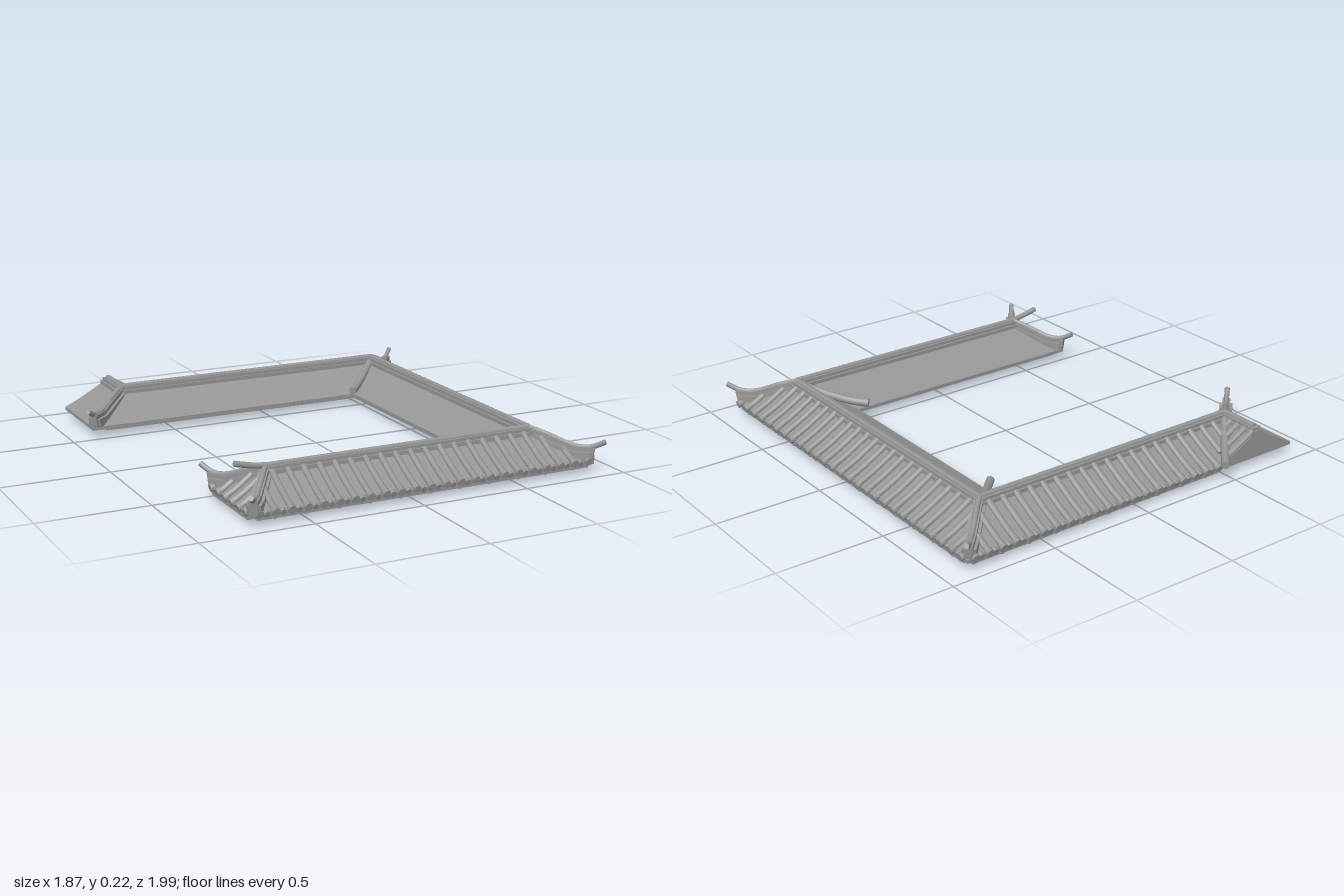
import * as THREE from 'three';

const mat = new THREE.MeshStandardMaterial({ color: 0x969696, side: THREE.DoubleSide });
const V = (x, y, z) => new THREE.Vector3(x, y, z);
const mix = (a, b, t) => a + (b - a) * t;
const EAVE = 0.05, RISE = 0.115;
// slightly sagging roof height, t = 0 at the ridge and 1 at the eave
const sag = t => EAVE + RISE * Math.pow(Math.max(0, 1 - t), 1.1);

// plan corners [x, z] of the three-winged roof
const ridge = [[-0.68, -0.73], [0.68, -0.73], [0.68, 0.725], [-0.59, 0.725]];
const outer = [[-0.895, -0.94], [0.89, -0.94], [0.89, 0.93], [-0.75, 0.93]];
const inner = [[-0.895, -0.53], [0.475, -0.53], [0.475, 0.515], [-0.75, 0.515]];
// cut end of the back wing: cross ridge end and valley foot
const spurEnd = [-0.68, -0.94], valleyFoot = [-0.46, -0.94];

function add(parent, name, geo) {
  const m = new THREE.Mesh(geo, mat);
  m.name = name;
  parent.add(m);
  return m;
}

// curved roof plane from ridge edge r0-r1 down to eave edge e0-e1
function slope(parent, name, r0, r1, e0, e1) {
  const pos = [], idx = [], n = 6;
  for (let i = 0; i <= n; i++) {
    const t = i / n;
    for (const [r, e] of [[r0, e0], [r1, e1]]) pos.push(mix(r[0], e[0], t), sag(t), mix(r[1], e[1], t));
    if (i < n) idx.push(2 * i, 2 * i + 2, 2 * i + 1, 2 * i + 1, 2 * i + 2, 2 * i + 3);
  }
  const g = new THREE.BufferGeometry();
  g.setAttribute('position', new THREE.Float32BufferAttribute(pos, 3));
  g.setIndex(idx);
  g.computeVertexNormals();
  add(parent, name, g);
}

// round rod through points, closed at both ends
function rod(parent, name, pts, r, seg = 6) {
  const curve = new THREE.CatmullRomCurve3(pts);
  add(parent, name, new THREE.TubeGeometry(curve, seg, r, 8));
  for (const t of [0, 1]) {
    const cap = add(parent, name + 'Cap', new THREE.CircleGeometry(r, 8));
    cap.position.copy(curve.getPoint(t));
    cap.lookAt(cap.position.clone().addScaledVector(curve.getTangent(t), t ? 1 : -1));
  }
}

// horizontal bar between plan points
function bar(parent, name, a, b, y0, y1, w, extra = 0) {
  const dx = b[0] - a[0], dz = b[1] - a[1];
  const m = add(parent, name, new THREE.BoxGeometry(Math.hypot(dx, dz) + extra, y1 - y0, w));
  m.position.set((a[0] + b[0]) / 2, (y0 + y1) / 2, (a[1] + b[1]) / 2);
  m.rotation.y = -Math.atan2(dz, dx);
}

// stepped ridge wall with a rounded top
function ridgeWall(parent, a, b) {
  bar(parent, 'ridgeBase', a, b, 0.125, 0.163, 0.064, 0.04);
  bar(parent, 'ridgeWall', a, b, 0.16, 0.178, 0.046, 0.03);
  rod(parent, 'ridgeCap', [V(a[0], 0.178, a[1]), V(b[0], 0.178, b[1])], 0.013, 1);
}

// hip: upturned rod over a stepped wall
function hip(parent, a, b) {
  const prof = [[0, 0.177], [0.25, 0.152], [0.6, 0.112], [0.82, 0.112], [1, 0.14]];
  rod(parent, 'hipRod', prof.map(([t, y]) => V(mix(a[0], b[0], t), y, mix(a[1], b[1], t))), 0.012, 14);
  const L = Math.hypot(b[0] - a[0], b[1] - a[1]);
  for (const [width, drop, end] of [[0.036, 0, 0.87], [0.06, 0.02, 0.83]]) {
    const s = new THREE.Shape();
    s.moveTo(0, 0.12);
    for (const [t, y] of prof.slice(0, 4)) s.lineTo(Math.min(t, end - 0.03) * L, y - drop);
    s.lineTo(end * L, 0.112 - drop);
    s.lineTo((end - 0.03) * L, 0.05);
    s.lineTo(0.6 * L, 0.055);
    const g = new THREE.ExtrudeGeometry(s, { depth: width, bevelEnabled: false });
    g.translate(0, 0, -width / 2);
    const m = add(parent, 'hipWall', g);
    m.position.set(a[0], 0, a[1]);
    m.rotation.y = -Math.atan2(b[1] - a[1], b[0] - a[0]);
  }
}

// rod lying in the valley where two slopes meet
function valley(parent, a, b) {
  const prof = [[0, 0.165], [0.4, 0.118], [0.75, 0.088], [1, 0.08]];
  rod(parent, 'valleyRod', prof.map(([t, y]) => V(mix(a[0], b[0], t), y, mix(a[1], b[1], t))), 0.019, 10);
}

// tile rows, round end tiles, drip tiles and eave board on one outer side
function tiledSide(parent, e0, e1, r0, r1, startsAtValley = false) {
  const L = Math.hypot(e1[0] - e0[0], e1[1] - e0[1]);
  const d = [(e1[0] - e0[0]) / L, (e1[1] - e0[1]) / L];
  const along = r => (r[0] - e0[0]) * d[0] + (r[1] - e0[1]) * d[1];
  const s0 = along(r0), s1 = along(r1);
  const nx = r0[0] - e0[0] - d[0] * s0, nz = r0[1] - e0[1] - d[1] * s0;
  const at = (s, t, dy) => V(e0[0] + d[0] * s + nx * (1 - t), sag(t) + dy, e0[1] + d[1] * s + nz * (1 - t));
  const flat = (s, t) => { const p = at(s, t, 0); return [p.x, p.z]; };
  const n = Math.round(L / 0.07), step = L / n;
  const first = startsAtValley ? along(valleyFoot) : 0.03;
  for (let i = 0; i < n; i++) {
    const s = (i + 0.5) * step;
    const t0 = Math.max(0.1, 1 - s / s0 + 0.1, 1 - (L - s) / (L - s1) + 0.1);
    const t1 = startsAtValley ? Math.min(1.03, (s - s0) / (first - s0)) : 1.03;
    if (t1 - t0 > 0.1) {
      rod(parent, 'tileRow', [0, 0.33, 0.66, 1].map(k => at(s, mix(t0, t1, k), 0.006)), 0.0145, 5);
    }
    if (s < first) continue;
    rod(parent, 'endTile', [at(s, 0.96, 0.004), at(s, 1.07, 0.002)], 0.018, 1);
    if (s + step / 2 < L - 0.02) rod(parent, 'dripTile', [at(s + step / 2, 0.93, -0.006), at(s + step / 2, 1.02, -0.006)], 0.014, 1);
    if (i % 2) rod(parent, 'rafterEnd', [flat(s, 0.72), flat(s, 1)].map(p => V(p[0], 0.032, p[1])), 0.012, 1);
  }
  bar(parent, 'eaveBoard', flat(first, 0.93), flat(L - 0.03, 0.93), 0.023, 0.046, 0.024);
}

export function createModel() {
  const root = new THREE.Group();
  root.name = 'courtyardRoof';
  const group = name => {
    const g = new THREE.Group();
    g.name = name;
    root.add(g);
    return g;
  };

  // flat underside slab with boards below the inner eaves
  const plan = new THREE.Shape([...outer, ...inner.slice().reverse()].map(p => new THREE.Vector2(p[0], -p[1])));
  const slab = new THREE.ExtrudeGeometry(plan, { depth: 0.015, bevelEnabled: false });
  slab.rotateX(-Math.PI / 2);
  slab.translate(0, 0.035, 0);
  add(root, 'underside', slab);
  bar(root, 'innerBoard', [-0.82, -0.56], [0.5, -0.56], 0.022, 0.04, 0.02);
  bar(root, 'innerBoard', [0.5, -0.56], [0.5, 0.545], 0.022, 0.04, 0.02);
  bar(root, 'innerBoard', [0.5, 0.545], [-0.7, 0.545], 0.022, 0.04, 0.02);

  // roof planes and main ridges
  const planes = group('roofPlanes'), ridges = group('ridges');
  const eave = [valleyFoot, ...outer.slice(1)];
  for (let i = 0; i < 3; i++) {
    slope(planes, 'outerSlope', ridge[i], ridge[i + 1], eave[i], eave[i + 1]);
    slope(planes, 'innerSlope', ridge[i + 1], ridge[i], inner[i + 1], inner[i]);
    ridgeWall(ridges, ridge[i], ridge[i + 1]);
  }
  slope(planes, 'frontWingEnd', ridge[3], ridge[3], outer[3], inner[3]);
  rod(ridges, 'ridgeTip', [V(-0.57, 0.178, 0.728), V(-0.64, 0.185, 0.728), V(-0.73, 0.205, 0.728)], 0.013);

  // tiles on the outward sides
  const tiles = group('tiles');
  tiledSide(tiles, outer[0], outer[1], ridge[0], ridge[1], true);
  tiledSide(tiles, outer[1], outer[2], ridge[1], ridge[2]);
  tiledSide(tiles, outer[2], outer[3], ridge[2], ridge[3]);
  tiledSide(tiles, outer[3], inner[3], ridge[3], ridge[3]);

  // hips at the outer corners and wing ends, valleys at the inner corners
  const hips = group('hips');
  hip(hips, ridge[1], [0.92, -0.975]);
  hip(hips, ridge[2], [0.92, 0.965]);
  hip(hips, ridge[3], [-0.77, 0.98]);
  hip(hips, ridge[3], [-0.77, 0.47]);
  hip(hips, ridge[0], [-0.93, -0.49]);
  valley(hips, ridge[1], [0.445, -0.485]);
  valley(hips, ridge[2], [0.435, 0.49]);
  valley(hips, ridge[0], [-0.45, -0.985]);

  // cross ridge on the back wing, cut off by a flat gable
  const spur = group('backWingSpur');
  ridgeWall(spur, ridge[0], [-0.68, -0.92]);
  slope(spur, 'spurOuterSlope', ridge[0], spurEnd, inner[0], outer[0]);
  slope(spur, 'spurValleySlope', spurEnd, ridge[0], valleyFoot, valleyFoot);
  const gable = new THREE.Shape();
  gable.moveTo(outer[0][0], 0.035);
  for (let i = 0; i <= 6; i++) gable.lineTo(mix(outer[0][0], spurEnd[0], i / 6), sag(1 - i / 6));
  for (let i = 1; i <= 6; i++) gable.lineTo(mix(spurEnd[0], valleyFoot[0], i / 6), sag(i / 6));
  gable.lineTo(valleyFoot[0], 0.035);
  const gableWall = add(spur, 'gable', new THREE.ShapeGeometry(gable));
  gableWall.scale.z = -1;
  gableWall.position.z = -0.94;
  for (let i = 0; i < 4; i++) {
    const z = -0.79 - i * 0.045, x1 = -0.68 - (z + 0.74) * 0.95;
    const h = x => sag((x + 0.68) / 0.22) + 0.006;
    rod(spur, 'spurTile', [-0.66, (x1 - 0.66) / 2, x1].map(x => V(x, h(x), z)), 0.0145, 4);
  }

  // diagonal beam under the back corner
  bar(root, 'cornerBeam', [0.545, -0.595], [0.805, -0.855], 0, 0.035, 0.016);
  return root;
}
